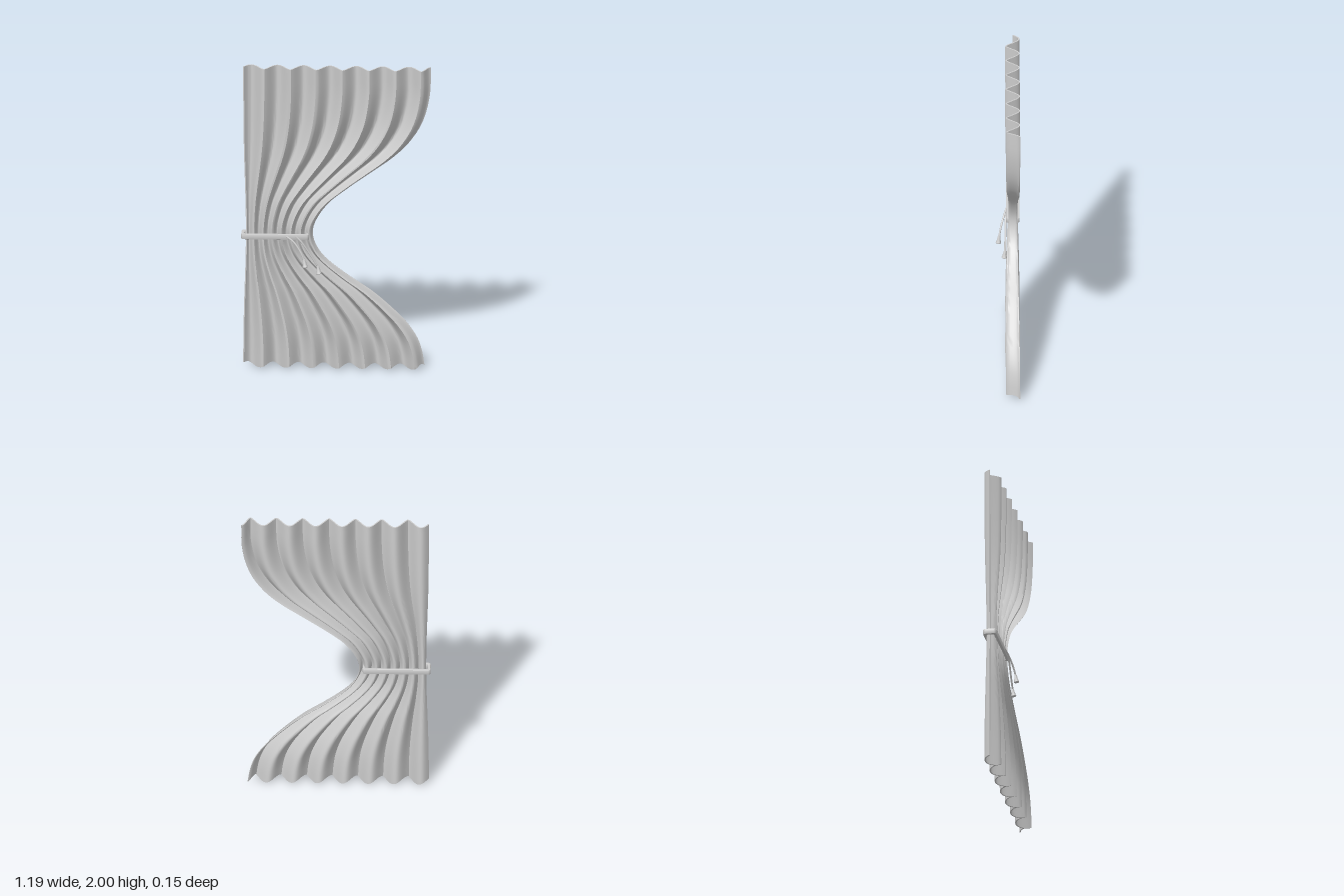
import * as THREE from 'three';
import { toCreasedNormals } from 'three/addons/utils/BufferGeometryUtils.js';

const COLS = 126, ROWS = 64, THICK = 0.008;

// Free edge of the drape, from header to hem, drawn in by the tie
const freeEdge = new THREE.CatmullRomCurve3([
  [0.59, 2], [0.585, 1.82], [0.54, 1.64], [0.455, 1.5], [0.355, 1.4], [0.22, 1.3],
  [0.07, 1.19], [-0.06, 1.08], [-0.14, 0.95], [-0.147, 0.87], [-0.11, 0.78],
  [-0.05, 0.71], [0.09, 0.6], [0.22, 0.51], [0.345, 0.4], [0.44, 0.3],
  [0.505, 0.2], [0.535, 0.11], [0.55, 0.015],
].map(([x, y]) => new THREE.Vector3(x, y, 0)));

// Fold phase across the cloth: 0 is a back fold, PI a front fold
function foldPhase(u) {
  const x = -0.58 + 1.17 * u, lastFront = 0.5375;
  if (x > lastFront) return Math.PI * (13 + (x - lastFront) / 0.0525);
  return 2 * Math.PI * (x + 0.535) / 0.165;
}

// Point on the pleated cloth at u across, on the row ending at edge point e
function clothPoint(u, e) {
  const pinch = THREE.MathUtils.clamp((0.59 - e.x) / 0.735, 0, 1);
  const tight = e.y > 0.87 ? pinch : Math.max(0, (0.55 - e.x) / 0.697);
  const left = -0.58 + 0.017 * tight;
  const ph = foldPhase(u);
  const wave = 0.5 * Math.abs(Math.cos(ph / 2)) + 0.25 * (1 + Math.cos(ph));
  const hem = Math.max(0, 1 - e.y / 0.3);
  return new THREE.Vector3(
    left + u * (e.x - left),
    e.y - 0.015 * hem * Math.sin(ph),
    0.02 - 0.02 * tight - (0.085 - 0.035 * tight) * wave);
}

// Thin closed cloth: each row is a ring, front side then back side
function clothGeometry() {
  const pos = [], idx = [], n = COLS + 1, ring = 2 * n;
  for (let r = 0; r <= ROWS; r++) {
    const e = freeEdge.getPoint(r / ROWS), back = [];
    for (let c = 0; c <= COLS; c++) {
      const u = c / COLS, p = clothPoint(u, e);
      const a = clothPoint(Math.max(0, u - 0.004), e), b = clothPoint(Math.min(1, u + 0.004), e);
      const dx = b.x - a.x, dz = b.z - a.z, k = THICK / 2 / Math.hypot(dx, dz);
      pos.push(p.x - dz * k, p.y, p.z + dx * k);
      back.unshift([p.x + dz * k, p.y, p.z - dx * k]);
    }
    back.forEach((q) => pos.push(...q));
  }
  const quad = (a, b, c, d) => idx.push(a, b, c, a, c, d);
  for (let r = 0; r < ROWS; r++) {
    for (let i = 0; i < ring; i++) {
      const j = (i + 1) % ring, t = r * ring, l = t + ring;
      quad(t + i, l + i, l + j, t + j);
    }
  }
  // Header and hem strips
  const last = ROWS * ring;
  for (let c = 0; c < COLS; c++) {
    const o = ring - 1 - c;
    quad(c, c + 1, o - 1, o);
    quad(last + c, last + o, last + o - 1, last + c + 1);
  }
  const g = new THREE.BufferGeometry();
  g.setAttribute('position', new THREE.Float32BufferAttribute(pos, 3));
  g.setIndex(idx);
  return toCreasedNormals(g, 0.8);
}

// Rounded rectangle outline for the tie, centred on its own origin
function roundedRect(path, w, h, r) {
  const x = w / 2, y = h / 2;
  path.moveTo(-x + r, -y);
  path.lineTo(x - r, -y).quadraticCurveTo(x, -y, x, -y + r);
  path.lineTo(x, y - r).quadraticCurveTo(x, y, x - r, y);
  path.lineTo(-x + r, y).quadraticCurveTo(-x, y, -x, y - r);
  path.lineTo(-x, -y + r).quadraticCurveTo(-x, -y, -x + r, -y);
  return path;
}

export function createModel() {
  const group = new THREE.Group();
  const fabric = new THREE.MeshStandardMaterial({ color: 0xcccccc });
  fabric.name = 'pale grey fabric';
  const add = (name, geometry, parent = group) => {
    const mesh = new THREE.Mesh(geometry, fabric);
    mesh.name = name;
    parent.add(mesh);
    return mesh;
  };

  add('curtain', clothGeometry());

  // Flat loop gathering the cloth
  const loop = roundedRect(new THREE.Shape(), 0.417, 0.077, 0.012);
  loop.holes.push(roundedRect(new THREE.Path(), 0.395, 0.055, 0.006));
  const tieGeo = new THREE.ExtrudeGeometry(loop, {
    depth: 0.026, bevelEnabled: true, bevelSize: 0.004, bevelThickness: 0.005, bevelSegments: 2, curveSegments: 4,
  });
  tieGeo.rotateX(-Math.PI / 2);
  const tie = add('tieBand', toCreasedNormals(tieGeo, 0.7));
  tie.position.set(-0.382, 0.867, -0.026);

  // Two hanging cords, each ending in a bell-shaped tassel
  const cords = [
    [[-0.31, 0.885, 0.014], [-0.265, 0.855, 0.03], [-0.22, 0.795, 0.05], [-0.197, 0.745, 0.06]],
    [[-0.25, 0.885, 0.014], [-0.215, 0.85, 0.02], [-0.155, 0.76, 0.022], [-0.112, 0.69, 0.024]],
  ];
  const bell = [[0, 0.008], [0.007, 0.006], [0.009, -0.004], [0.011, -0.02], [0.017, -0.042], [0.015, -0.046], [0, -0.046]]
    .map(([x, y]) => new THREE.Vector2(x, y)).reverse();
  for (const points of cords) {
    const cord = new THREE.Group();
    cord.name = 'tieCord';
    const path = new THREE.CatmullRomCurve3(points.map((p) => new THREE.Vector3(...p)));
    add('cord', new THREE.TubeGeometry(path, 16, 0.006, 8), cord);
    const tassel = add('tassel', toCreasedNormals(new THREE.LatheGeometry(bell, 14), 0.7), cord);
    tassel.position.set(...points[3]);
    tassel.rotation.set(-0.12, 0, 0.15);
    group.add(cord);
  }
  return group;
}
